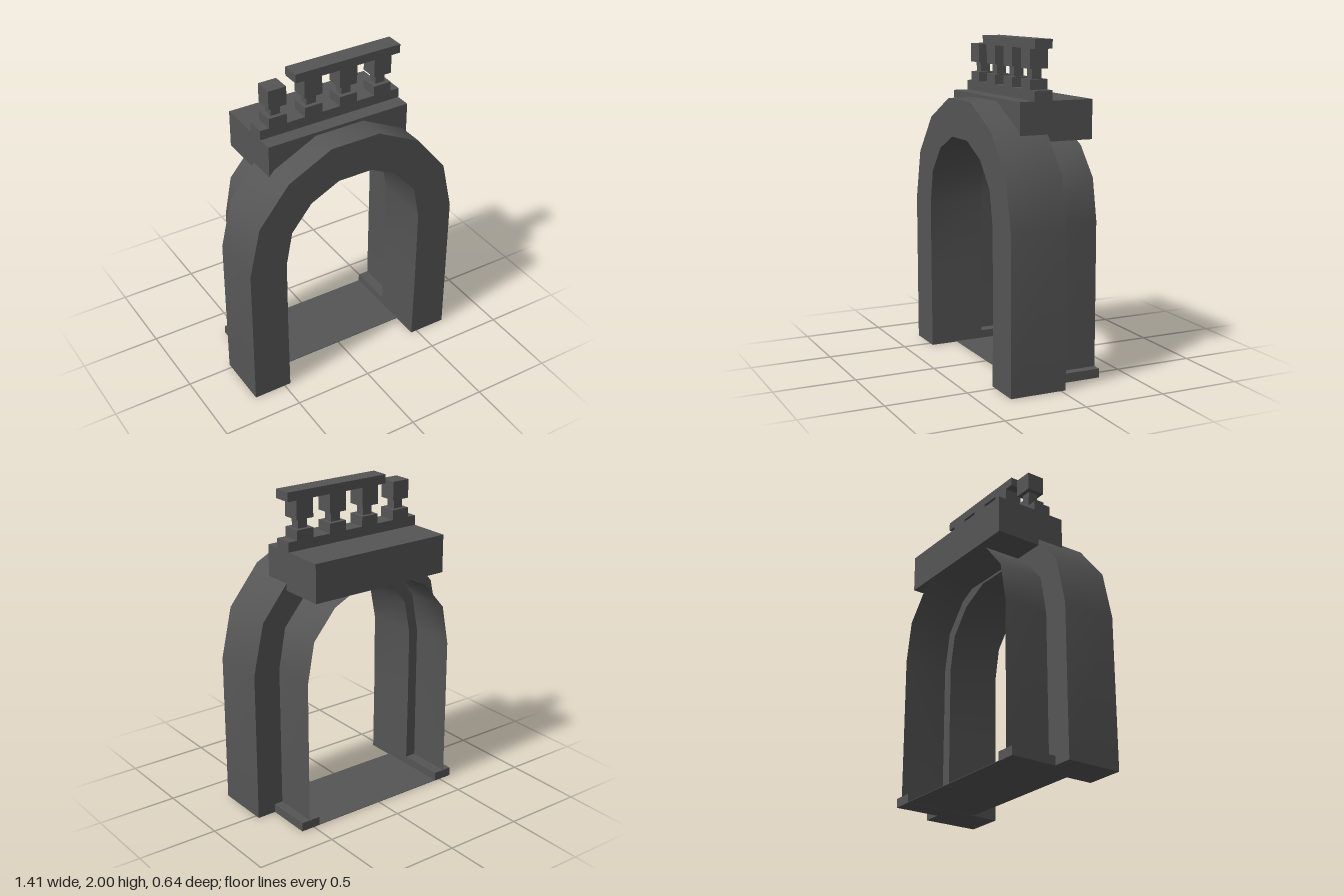
import * as THREE from 'three';
import { toCreasedNormals } from 'three/addons/utils/BufferGeometryUtils.js';

const stone = new THREE.MeshStandardMaterial({ color: 0x555555 });
stone.name = 'darkStone';
const thinStone = new THREE.MeshStandardMaterial({ color: 0x555555, side: THREE.DoubleSide });
thinStone.name = 'darkStoneThin';

// Right-hand half outlines [x, y], from the ground to the crown
const OUTER = [[0.705, 0], [0.705, 0.94], [0.635, 1.25], [0.44, 1.49], [0.16, 1.63]];
const INNER = [[0.46, 0], [0.465, 0.47], [0.465, 0.94], [0.425, 1.15], [0.295, 1.31], [0.11, 1.4]];
const LINING = [[0.53, 0], [0.53, 0.94], [0.483, 1.19], [0.335, 1.365], [0.13, 1.465]];

// Complete a half outline with its mirror image, running from +x to -x
const mirrored = (half) => [...half, ...half.map(([x, y]) => [-x, y]).reverse()];

function add(parent, name, geometry, material = stone) {
  const mesh = new THREE.Mesh(geometry, material);
  mesh.name = name;
  parent.add(mesh);
  return mesh;
}

// Box given by its extents along each axis
function addBox(parent, name, [x0, x1], [y0, y1], [z0, z1]) {
  const mesh = add(parent, name, new THREE.BoxGeometry(x1 - x0, y1 - y0, z1 - z0));
  mesh.position.set((x0 + x1) / 2, (y0 + y1) / 2, (z0 + z1) / 2);
}

// Thick ring of the front arch
function archGeometry(z0, z1) {
  const outline = [...mirrored(OUTER), ...mirrored(INNER).reverse()];
  const shape = new THREE.Shape(outline.map(([x, y]) => new THREE.Vector2(x, y)));
  const geometry = new THREE.ExtrudeGeometry(shape, { depth: z1 - z0, bevelEnabled: false });
  geometry.translate(0, 0, z0);
  return toCreasedNormals(geometry, 0.7);
}

// Thin open sheet swept along z behind the arch
function liningGeometry(z0, z1) {
  const positions = [];
  const index = [];
  mirrored(LINING).forEach(([x, y], i) => {
    positions.push(x, y, z0, x, y, z1);
    if (i > 0) {
      const a = 2 * (i - 1);
      index.push(a, a + 1, a + 2, a + 1, a + 3, a + 2);
    }
  });
  const geometry = new THREE.BufferGeometry();
  geometry.setAttribute('position', new THREE.Float32BufferAttribute(positions, 3));
  geometry.setIndex(index);
  geometry.computeVertexNormals();
  return geometry;
}

export function createModel() {
  const model = new THREE.Group();
  model.name = 'archway';

  add(model, 'frontArch', archGeometry(-0.03, 0.32));
  add(model, 'rearLining', liningGeometry(-0.32, -0.03), thinStone);

  // Floor with a kerb at each side
  addBox(model, 'floor', [-0.5, 0.5], [0.001, 0.004], [-0.32, 0.15]);
  addBox(model, 'leftKerb', [0.46, 0.585], [0, 0.055], [-0.32, -0.03]);
  addBox(model, 'rightKerb', [-0.585, -0.46], [0, 0.055], [-0.32, -0.03]);

  // Block over the crown
  addBox(model, 'lintelBlock', [-0.47, 0.467], [1.415, 1.65], [-0.32, 0.15]);

  // Broken balustrade: the rail stops short of the post on the right
  const balustrade = new THREE.Group();
  balustrade.name = 'balustrade';
  model.add(balustrade);
  const depth = [-0.057, 0.057];
  addBox(balustrade, 'plinth', [-0.47, 0.467], [1.65, 1.71], depth);
  for (const x of [-0.354, -0.12, 0.115, 0.35]) {
    addBox(balustrade, 'postBase', [x - 0.058, x + 0.058], [1.71, 1.77], depth);
    addBox(balustrade, 'postNeck', [x - 0.031, x + 0.031], [1.77, 1.83], [-0.031, 0.031]);
    addBox(balustrade, 'postHead', [x - 0.058, x + 0.058], [1.83, 1.945], depth);
  }
  addBox(balustrade, 'topRail', [-0.236, 0.467], [1.945, 2], depth);

  return model;
}
